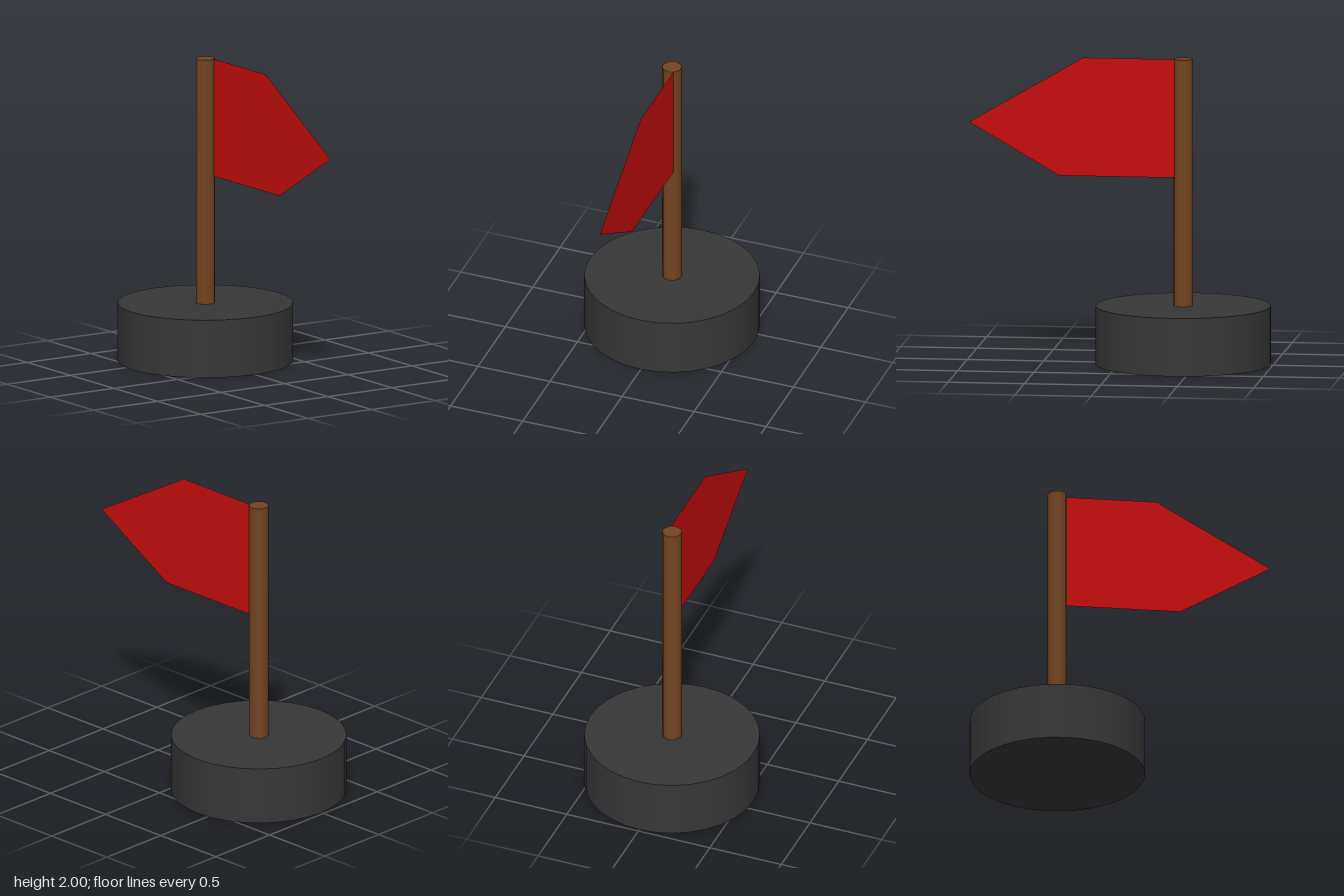
import * as THREE from 'three';

const AXIS_Z = -0.413; // depth of the pole and base axis

export function createModel() {
  const model = new THREE.Group();
  const material = (name, color) => {
    const m = new THREE.MeshStandardMaterial({ color });
    m.name = name;
    return m;
  };
  const charcoal = material('charcoal', 0x373737);
  const wood = material('brown wood', 0x734422);
  const red = material('red cloth', 0xc60d0d);
  red.side = THREE.DoubleSide;

  // Upright cylinder between two heights on the shared axis
  const addPost = (name, radius, bottom, top, sides, mat) => {
    const mesh = new THREE.Mesh(new THREE.CylinderGeometry(radius, radius, top - bottom, sides), mat);
    mesh.name = name;
    mesh.position.set(0, (bottom + top) / 2, AXIS_Z);
    model.add(mesh);
  };
  addPost('base', 0.57, 0, 0.381, 32, charcoal);
  addPost('pole', 0.064, 0.381, 2, 10, wood);

  // Pointed flag: a flat sheet whose inner edge is set into the pole
  const outline = [[AXIS_Z, 2], [AXIS_Z, 1.223], [0.395, 1.223], [0.984, 1.565], [0.238, 2]];
  const shape = new THREE.Shape(outline.map(([z, y]) => new THREE.Vector2(z, y)));
  const flag = new THREE.Mesh(new THREE.ShapeGeometry(shape).rotateY(-Math.PI / 2), red);
  flag.name = 'flag';
  flag.position.x = 0.03;
  model.add(flag);

  return model;
}
